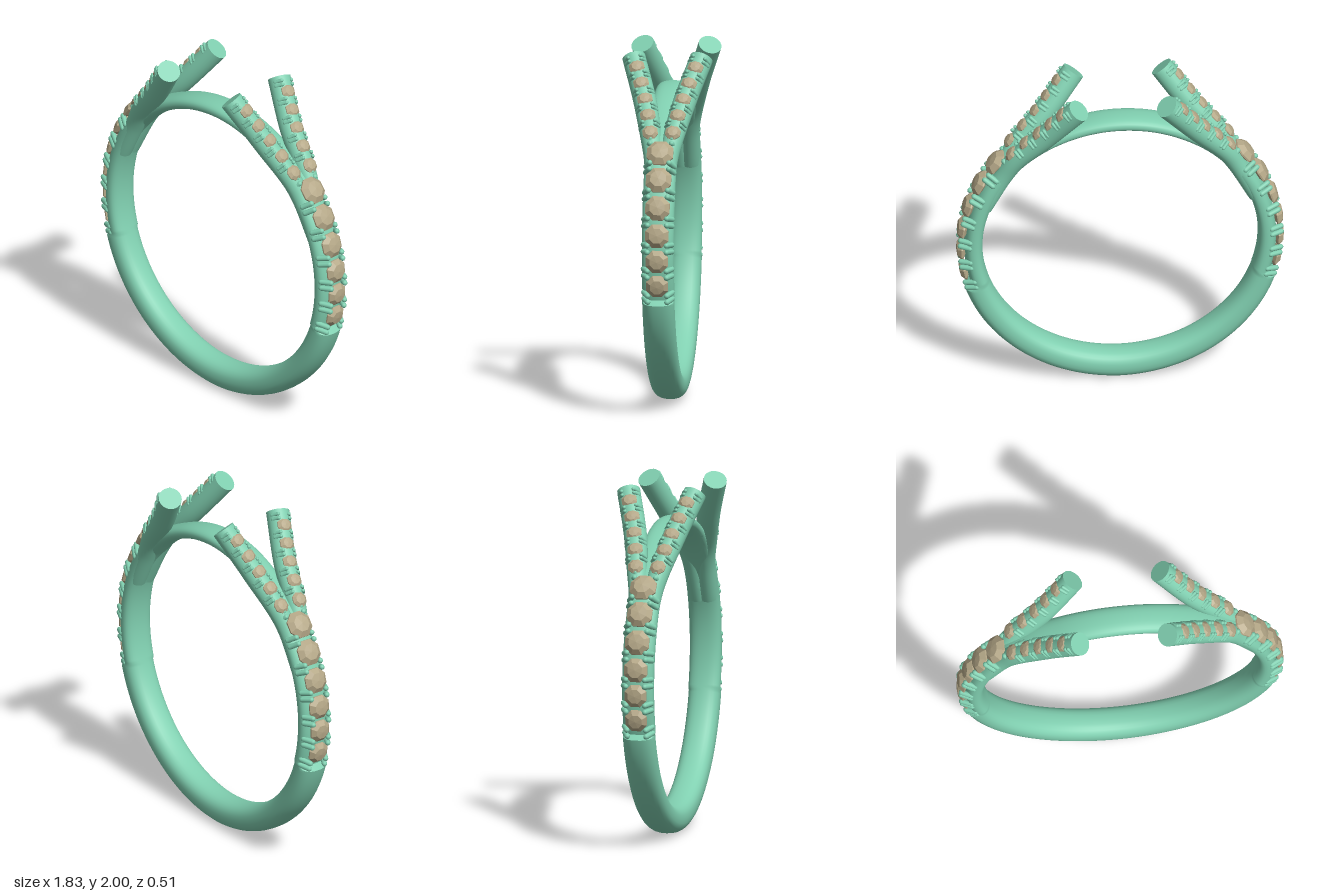
import * as THREE from 'three';
import { mergeGeometries, toCreasedNormals } from 'three/addons/utils/BufferGeometryUtils.js';

const V = (x, y, z = 0) => new THREE.Vector3(x, y, z);
const CY = 0.93; // height of the ring centre
const rad = THREE.MathUtils.degToRad;
const { lerp, smoothstep } = THREE.MathUtils;

// Skin a list of cross-sections, with optional flat end caps
function loft(sections, caps) {
  const n = sections[0].length, last = sections.length - 1;
  const pts = sections.flat(), index = [];
  for (let i = 0; i < last; i++) {
    for (let j = 0; j < n; j++) {
      const k = (j + 1) % n, a = i * n, b = a + n;
      index.push(a + j, b + j, b + k, a + j, b + k, a + k);
    }
  }
  if (caps) {
    for (const i of [0, last]) {
      const c = V(0, 0);
      sections[i].forEach(p => c.addScaledVector(p, 1 / n));
      const m = pts.push(c) - 1;
      for (let j = 0; j < n; j++) {
        const p = i * n + j, q = i * n + (j + 1) % n;
        index.push(m, i ? q : p, i ? p : q);
      }
    }
  }
  const g = new THREE.BufferGeometry().setFromPoints(pts);
  g.setIndex(index);
  return toCreasedNormals(g, 0.7);
}

// Local frame on a path: x = sideways, y = outward, z = along the path
function frame(pos, tangent) {
  const n = V(tangent.y, -tangent.x).normalize();
  const b = n.clone().cross(tangent).normalize();
  return new THREE.Matrix4().makeBasis(b, n, b.clone().cross(n)).setPosition(pos);
}

const ringFrame = (deg, r) => {
  const c = Math.cos(rad(deg)), s = Math.sin(rad(deg));
  return frame(V(r * c, CY + r * s), V(-s, c));
};

// Band outer radius by elevation: plain shank, lowered gem seat, thin top
function outerRadius(e) {
  if (e < -17) return lerp(0.93, 0.914, (e + 90) / 73);
  return lerp(0.872, 0.85, smoothstep(e, 42, 66));
}

function bandGeometry() {
  const inner = 0.77, sections = [];
  const soft = v => Math.sign(v) * Math.abs(v) ** 0.82;
  for (let i = 0; i <= 360; i++) {
    const a = rad(i - 90), e = THREE.MathUtils.radToDeg(Math.asin(Math.sin(a)));
    const half = (outerRadius(e) - inner) / 2;
    const width = lerp(0.09, 0.085, smoothstep(e, 30, 70));
    const loop = [];
    for (let j = 0; j < 28; j++) {
      const p = j / 28 * Math.PI * 2;
      const r = inner + half + half * soft(Math.cos(p));
      loop.push(V(r * Math.cos(a), CY + r * Math.sin(a), width * soft(Math.sin(p))));
    }
    sections.push(loop);
  }
  return loft(sections, false);
}

// Arm centre line, splaying to the front or back
const armCurve = s => new THREE.CatmullRomCurve3([
  V(0.766, 1.209, 0.03 * s), V(0.65, 1.43, 0.04 * s), V(0.585, 1.54, 0.06 * s),
  V(0.42, 1.73, 0.11 * s), V(0.245, 1.955, 0.19 * s),
]);
const armFrame = (curve, t) => frame(curve.getPointAt(t), curve.getTangentAt(t));

function armGeometry(curve) {
  const sections = [];
  for (let i = 0; i <= 48; i++) {
    const t = i / 48, m = armFrame(curve, t), r = lerp(0.053, 0.065, smoothstep(t, 0.2, 0.7));
    const loop = [];
    for (let j = 0; j < 24; j++) {
      const p = j / 24 * Math.PI * 2;
      loop.push(V(r * Math.sin(p), r * Math.cos(p)).applyMatrix4(m));
    }
    sections.push(loop);
  }
  return loft(sections, true);
}

// Faceted gem: pointed base, girdle, crown and flat table
function gemGeometry(r, m) {
  const profile = [[0, -0.6], [1, -0.06], [1, 0.06], [0.62, 0.38], [0, 0.44]]
    .map(([x, y]) => new THREE.Vector2(x * r, y * r));
  return new THREE.LatheGeometry(profile, 8).rotateY(Math.PI / 8).applyMatrix4(m);
}

// Rounded claw leaning from a low outer point to a high inner point
function claw(from, to, r, m) {
  const d = to.clone().sub(from);
  const g = new THREE.CapsuleGeometry(r, d.length(), 4, 10);
  g.applyQuaternion(new THREE.Quaternion().setFromUnitVectors(V(0, 1), d.clone().normalize()));
  const mid = from.clone().lerp(to, 0.5);
  return g.translate(mid.x, mid.y, mid.z).applyMatrix4(m);
}

// Four claws at a gap between gems: two on each side
function clawSet(list, m, lowX, highX, low, high, gap, r) {
  for (const sx of [-1, 1]) for (const sz of [-1, 1]) {
    list.push(claw(V(sx * lowX, low, sz * gap), V(sx * highX, high, sz * gap), r, m));
  }
}

export function createModel() {
  const model = new THREE.Group();
  const metal = new THREE.MeshStandardMaterial({ color: 0x80cfb0 });
  const stone = new THREE.MeshStandardMaterial({ color: 0xb5a888, flatShading: true });
  const add = (parent, name, geometry, material) => {
    const mesh = new THREE.Mesh(geometry, material);
    mesh.name = name;
    parent.add(mesh);
  };

  add(model, 'band', bandGeometry(), metal);

  // Gems on the band: angle, gem radius, seat radius
  const bandGems = [
    [-11, 0.066, 0.887], [-1.8, 0.067, 0.887], [7.5, 0.071, 0.887],
    [17.5, 0.074, 0.887], [28, 0.077, 0.888], [38.5, 0.08, 0.892],
  ];
  const armGems = [0.43, 0.55, 0.67, 0.785, 0.9];

  // Each side is the other turned half round
  for (const [name, turn] of [['leftSide', 0], ['rightSide', Math.PI]]) {
    const side = new THREE.Group();
    side.name = name;
    side.rotation.y = turn;
    const gems = [], claws = [];

    bandGems.forEach(([deg, r, seat], i) => {
      gems.push(gemGeometry(r, ringFrame(deg, seat)));
      const before = i ? (deg + bandGems[i - 1][0]) / 2 : deg - 4.7;
      clawSet(claws, ringFrame(before, 0.9), 0.079, 0.054, -0.055, -0.003, 0.019, 0.0155);
    });
    clawSet(claws, ringFrame(43.8, 0.895), 0.085, 0.06, -0.05, -0.005, 0.017, 0.015);

    for (const s of [-1, 1]) {
      const curve = armCurve(s);
      add(side, s > 0 ? 'frontArm' : 'backArm', armGeometry(curve), metal);
      armGems.forEach((t, i) => {
        const lift = new THREE.Matrix4().makeTranslation(0, 0.052, 0);
        gems.push(gemGeometry(0.046, armFrame(curve, t).multiply(lift)));
        const gap = i < 4 ? (t + armGems[i + 1]) / 2 : t + 0.055;
        clawSet(claws, armFrame(curve, gap), 0.053, 0.034, 0.025, 0.06, 0.012, 0.0105);
      });
    }
    add(side, 'gems', mergeGeometries(gems), stone);
    add(side, 'claws', mergeGeometries(claws), metal);
    model.add(side);
  }
  return model;
}
